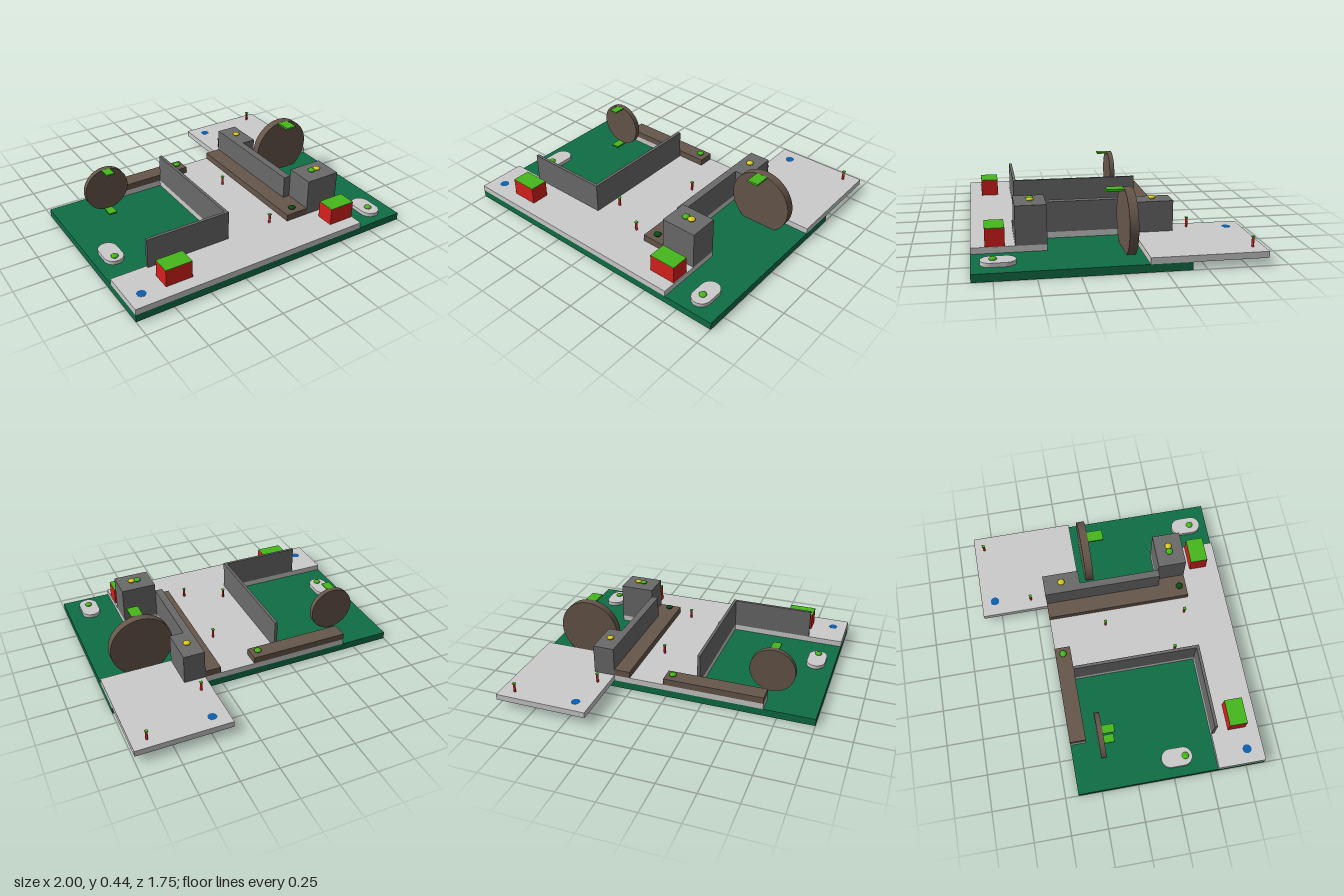
import * as THREE from 'three';

const mat = (color) => new THREE.MeshStandardMaterial({ color });
const M = {
  grey: mat(0xcccccc), green: mat(0x0f6e46), lime: mat(0x46b81c), red: mat(0xd8201c),
  brown: mat(0x66564a), slate: mat(0x6a6a6a), blue: mat(0x0c5ead), yellow: mat(0xdccb1c), pine: mat(0x0c4a14),
};

export function createModel() {
  const root = new THREE.Group();

  const add = (name, geometry, material, x = 0, y = 0, z = 0) => {
    const mesh = new THREE.Mesh(geometry, material);
    mesh.name = name;
    mesh.position.set(x, y, z);
    root.add(mesh);
    return mesh;
  };
  // Box given by its limits on each axis
  const box = (name, material, x0, x1, y0, y1, z0, z1) =>
    add(name, new THREE.BoxGeometry(x1 - x0, y1 - y0, z1 - z0), material, (x0 + x1) / 2, (y0 + y1) / 2, (z0 + z1) / 2);
  // Plan shape (drawn with y = -z) raised to a height
  const slab = (name, shape, material, y, height, x = 0, z = 0) => {
    const g = new THREE.ExtrudeGeometry(shape, { depth: height, bevelEnabled: false, curveSegments: 24 });
    g.rotateX(-Math.PI / 2);
    return add(name, g, material, x, y, z);
  };

  // Ground plate
  box('ground', M.green, -1, 1, 0, 0.05, -0.41, 0.875);

  // Raised walkway with two round holes
  const outline = [
    [-1, 0.875], [0.66, 0.875], [0.66, 0.41], [0.42, 0.41], [0.42, -0.155], [1, -0.155], [1, -0.875],
    [0.37, -0.875], [0.37, -0.41], [-0.66, -0.41], [-0.66, -0.3], [-0.2, -0.3], [-0.2, 0.55], [-1, 0.55],
  ];
  const walkway = new THREE.Shape(outline.map(([x, z]) => new THREE.Vector2(x, -z)));
  const spots = [[-0.905, 0.765], [0.475, -0.78]];
  for (const [x, z] of spots) {
    walkway.holes.push(new THREE.Path().absarc(x, -z, 0.03, 0, Math.PI * 2, true));
  }
  slab('walkway', walkway, M.grey, 0.05, 0.04);

  // Blue covers over the holes
  for (const [x, z] of spots) {
    add('holeCover', new THREE.CircleGeometry(0.03, 32).rotateX(-Math.PI / 2), M.blue, x, 0.0905, z);
  }

  // Thin corner walls around the left lawn
  box('sideWall', M.slate, -0.2, -0.18, 0.09, 0.29, -0.3, 0.57);
  box('frontWall', M.slate, -0.76, -0.2, 0.09, 0.29, 0.55, 0.57);

  // Central wall with its end blocks
  box('centralWall', M.slate, 0.37, 0.42, 0.09, 0.29, -0.155, 0.41);
  box('rearBlock', M.slate, 0.37, 0.515, 0.09, 0.29, -0.41, -0.155);
  box('frontBlock', M.slate, 0.42, 0.66, 0.09, 0.34, 0.41, 0.605);

  // Low brown benches
  box('longBench', M.brown, 0.26, 0.37, 0.09, 0.135, -0.41, 0.605);
  box('longBenchEnd', M.brown, 0.37, 0.42, 0.09, 0.135, 0.41, 0.605);
  box('rearBench', M.brown, -0.66, 0.02, 0.09, 0.135, -0.41, -0.3);

  // Upright wheels, cut flat where they meet the ground
  const wheel = (name, x, y, r, z0, z1) => {
    const dip = Math.asin(Math.min(1, (y - 0.05) / r));
    const disc = new THREE.Shape();
    disc.absarc(0, 0, r, -dip, Math.PI + dip, false);
    const g = new THREE.ExtrudeGeometry(disc, { depth: z1 - z0, bevelEnabled: false, curveSegments: 64 });
    add(name, g, M.brown, x, y, z0);
  };
  wheel('leftLawnWheel', -0.665, 0.226, 0.153, -0.22, -0.185);
  wheel('rightLawnWheel', 0.692, 0.2235, 0.2125, -0.105, -0.05);

  // Tabs in front of the wheels
  box('wheelTab', M.lime, -0.693, -0.637, 0.368, 0.378, -0.185, -0.108);
  box('lowerWheelTab', M.lime, -0.693, -0.637, 0.068, 0.078, -0.185, -0.108);
  box('wheelTab', M.lime, 0.654, 0.73, 0.422, 0.435, -0.05, 0.055);

  // Rounded pads on the lawns
  for (const [x, z] of [[-0.873, 0.287], [0.842, 0.715]]) {
    const r = 0.063, h = 0.043;
    const pad = new THREE.Shape();
    pad.absarc(0, h, r, 0, Math.PI, false);
    pad.absarc(0, -h, r, Math.PI, Math.PI * 2, false);
    pad.closePath();
    slab('pad', pad, M.grey, 0.05, 0.026, x, z);
  }

  // Flattened buttons
  const buttons = [
    [-0.873, 0.082, 0.345, M.lime], [0.842, 0.082, 0.745, M.lime], [-0.03, 0.147, -0.355, M.lime],
    [0.333, 0.147, 0.555, M.pine], [0.52, 0.352, 0.505, M.lime], [0.563, 0.353, 0.505, M.yellow],
    [0.445, 0.301, -0.285, M.yellow],
  ];
  for (const [x, y, z, m] of buttons) {
    add('button', new THREE.SphereGeometry(0.024, 24, 16).scale(1, 0.5, 1), m, x, y, z);
  }

  // Red crates with green lids
  for (const x of [-0.665, 0.565]) {
    box('crate', M.red, x - 0.09, x + 0.09, 0.09, 0.203, 0.667, 0.788);
    box('crateLid', M.lime, x - 0.09, x + 0.09, 0.203, 0.207, 0.667, 0.788);
  }

  // Small red pegs with square green caps
  for (const [x, z] of [[-0.112, 0.43], [0.152, 0.555], [0.155, -0.02], [0.443, -0.52], [0.9, -0.805]]) {
    add('peg', new THREE.CylinderGeometry(0.008, 0.008, 0.06, 16), M.red, x, 0.12, z);
    box('pegCap', M.lime, x - 0.01, x + 0.01, 0.15, 0.155, z - 0.01, z + 0.01);
  }

  return root;
}
